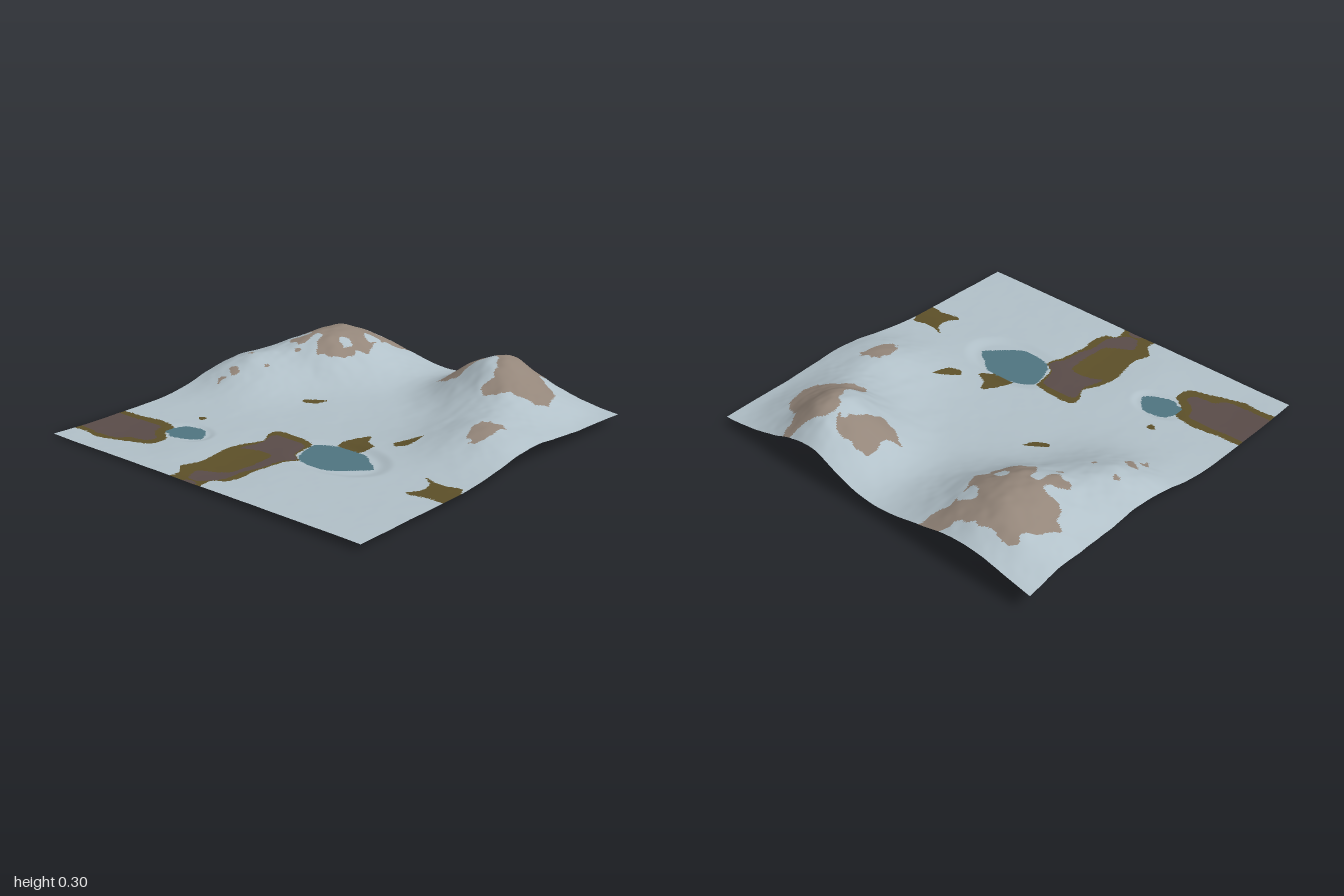
import * as THREE from 'three';

const SEG = 220;
const mat = (name, color) => new THREE.MeshStandardMaterial({ name, color, side: THREE.DoubleSide });

// Hills and hollows: x, z, height, spread in x, spread in z
const HILLS = [
  [-0.62, -0.74, 0.2, 0.27, 0.24], [-0.55, -0.5, 0.05, 0.15, 0.13], [-0.8, -0.2, 0.13, 0.2, 0.2],
  [0.36, -0.8, 0.19, 0.18, 0.2], [0.6, -0.68, 0.12, 0.2, 0.22], [0.76, -0.2, 0.1, 0.21, 0.2],
  [-0.75, 0.75, -0.013, 0.2, 0.14], [-0.03, 0.65, -0.007, 0.12, 0.25],
];
// Ponds: x, z, half length, half width, water level
const PONDS = [[0.29, 0.345, 0.23, 0.15, 0.02], [-0.51, 0.555, 0.12, 0.09, 0.014]];

// Closed smooth outline from x, z pairs
function outline(...p) {
  const pts = [];
  for (let i = 0; i < p.length; i += 2) pts.push(new THREE.Vector3(p[i], p[i + 1], 0));
  return new THREE.CatmullRomCurve3(pts, true, 'catmullrom', 0.4).getPoints(pts.length * 5);
}
const blob = (x, z, r) => outline(x - r, z, x - r * 0.3, z - r, x + r, z - r * 0.5, x + r * 0.6, z + r);

const WATER = [
  outline(0.08, 0.29, 0.12, 0.24, 0.2, 0.21, 0.35, 0.21, 0.42, 0.26, 0.5, 0.32, 0.46, 0.37, 0.4, 0.43, 0.32, 0.48, 0.18, 0.47, 0.12, 0.42),
  outline(-0.62, 0.6, -0.6, 0.5, -0.52, 0.47, -0.46, 0.48, -0.4, 0.56, -0.45, 0.61, -0.54, 0.64, -0.58, 0.62),
];
const MOSS_CORE = [
  outline(-0.16, 0.55, -0.05, 0.5, 0.03, 0.52, 0.04, 0.65, 0.03, 0.78, -0.03, 0.83, -0.1, 0.86, -0.17, 0.85, -0.15, 0.7),
];
const PEAT = [
  outline(-1.05, 0.6, -0.9, 0.58, -0.75, 0.57, -0.68, 0.58, -0.65, 0.65, -0.58, 0.7, -0.6, 0.75, -0.7, 0.77, -0.75, 0.82, -0.9, 0.83, -1.05, 0.8),
  outline(-0.15, 0.31, 0, 0.3, 0.06, 0.32, 0.09, 0.42, 0.15, 0.47, 0.11, 0.55, 0.1, 0.65, 0.07, 0.75, 0.07, 0.86, 0.01, 0.95,
    -0.06, 0.96, -0.1, 0.88, -0.05, 0.8, -0.1, 0.6, -0.16, 0.53, -0.13, 0.42),
  outline(-0.07, 1.04, -0.05, 0.98, 0.01, 0.98, 0.02, 1.04),
];
const MOSS = [
  outline(-1.05, 0.57, -0.88, 0.54, -0.75, 0.52, -0.63, 0.54, -0.6, 0.62, -0.53, 0.68, -0.54, 0.77, -0.64, 0.81, -0.72, 0.84, -0.82, 0.87, -0.92, 0.86, -1.05, 0.85),
  outline(-0.18, 0.27, -0.12, 0.25, 0.06, 0.27, 0.08, 0.33, 0.1, 0.42, 0.16, 0.47, 0.13, 0.55, 0.12, 0.62, 0.11, 0.72, 0.12, 0.8, 0.1, 0.88,
    0.04, 0.92, 0.05, 1.05, -0.14, 1.05, -0.14, 0.95, -0.2, 0.88, -0.17, 0.78, -0.2, 0.6, -0.18, 0.48, -0.14, 0.4, -0.18, 0.32),
  outline(0.17, 0.2, 0.19, 0.12, 0.24, 0.04, 0.28, 0.1, 0.34, 0.13, 0.33, 0.17, 0.3, 0.21, 0.22, 0.21),
  outline(0.4, 0.06, 0.42, 0.02, 0.49, -0.06, 0.48, 0.05, 0.43, 0.08),
  outline(0.77, 0.28, 0.84, 0.3, 0.9, 0.3, 0.97, 0.28, 1, 0.33, 1.03, 0.45, 0.92, 0.45, 0.84, 0.47, 0.8, 0.46, 0.84, 0.4, 0.83, 0.33),
  outline(-0.35, -0.12, -0.3, -0.16, -0.25, -0.19, -0.27, -0.13, -0.33, -0.1),
  blob(-0.6, 0.375, 0.022),
];
const ROCK = [
  outline(-0.9, -0.68, -0.82, -0.8, -0.8, -0.88, -0.68, -0.9, -0.52, -0.93, -0.46, -1.02, -0.34, -1.02, -0.38, -0.92, -0.42, -0.85, -0.4, -0.75,
    -0.36, -0.65, -0.4, -0.6, -0.42, -0.5, -0.52, -0.42, -0.58, -0.48, -0.6, -0.54, -0.65, -0.55, -0.65, -0.44, -0.74, -0.43, -0.76, -0.47,
    -0.7, -0.55, -0.8, -0.58, -0.86, -0.66),
  outline(0.11, -0.65, 0.16, -0.7, 0.15, -0.83, 0.28, -0.87, 0.35, -0.82, 0.3, -0.72, 0.27, -0.62, 0.2, -0.62),
  outline(0.38, -0.83, 0.48, -0.92, 0.5, -1.02, 0.56, -1.02, 0.6, -0.88, 0.72, -0.83, 0.78, -0.7, 0.78, -0.62, 0.66, -0.58, 0.58, -0.5,
    0.48, -0.52, 0.5, -0.62, 0.44, -0.72),
  outline(0.7, -0.2, 0.74, -0.25, 0.84, -0.25, 0.82, -0.2, 0.8, -0.06, 0.73, -0.07),
  ...[[-0.8, -0.05, 0.035], [-0.84, -0.22, 0.02], [-0.82, 0.03, 0.025], [-0.65, -0.38, 0.02], [-0.67, -0.17, 0.015]].map((b) => blob(...b)),
];
const SNOW = [blob(-0.46, -0.78, 0.05), blob(-0.48, -0.59, 0.035)];

function inside(loop, x, z) {
  let hit = false;
  for (let i = 0, j = loop.length - 1; i < loop.length; j = i++) {
    const a = loop[i], b = loop[j];
    if ((a.y > z) !== (b.y > z) && x < ((b.x - a.x) * (z - a.y)) / (b.y - a.y) + a.x) hit = !hit;
  }
  return hit;
}
const within = (loops, x, z) => loops.some((l) => inside(l, x, z));

// Seeded smooth noise, -1 to 1
const hash = (i, j) => { const s = Math.sin(i * 127.1 + j * 311.7) * 43758.5453; return (s - Math.floor(s)) * 2 - 1; };
function noise(x, z) {
  const i = Math.floor(x), j = Math.floor(z), L = THREE.MathUtils.lerp;
  const u = THREE.MathUtils.smoothstep(x - i, 0, 1), v = THREE.MathUtils.smoothstep(z - j, 0, 1);
  return L(L(hash(i, j), hash(i + 1, j), u), L(hash(i, j + 1), hash(i + 1, j + 1), u), v);
}
const fractal = (x, z) => noise(x * 6, z * 6) + 0.5 * noise(x * 13, z * 13) + 0.22 * noise(x * 27, z * 27);

function height(x, z) {
  const back = 1 - THREE.MathUtils.smoothstep(z, -0.5, 0.4);
  let hill = 0;
  for (const [hx, hz, h, sx, sz] of HILLS) hill += h * Math.exp(-0.5 * (((x - hx) / sx) ** 2 + ((z - hz) / sz) ** 2));
  let y = THREE.MathUtils.lerp(0.027 + 0.01 * x, 0.05, back) + hill;
  y += fractal(x, z) * (0.001 + 0.05 * Math.max(hill, 0));
  // Banks slope down to each pond's level
  for (const [px, pz, a, b, level] of PONDS) {
    const d = Math.hypot((x - px) / a, (z - pz) / b);
    y = THREE.MathUtils.lerp(level, y, THREE.MathUtils.smoothstep(d, 0.95, 1.35));
  }
  return Math.max(y, 0);
}

// Material slot for a point of the land
function surface(x, z) {
  if (within(WATER, x, z)) return 1;
  if (within(MOSS_CORE, x, z)) return 2;
  if (within(PEAT, x, z)) return 3;
  if (within(MOSS, x, z)) return 2;
  const rx = x + 0.015 * noise(x * 30, z * 30), rz = z + 0.015 * noise(x * 30 + 50, z * 30);
  return within(ROCK, rx, rz) && !within(SNOW, rx, rz) ? 4 : 0;
}

export function createModel() {
  const group = new THREE.Group();
  group.name = 'landscape';
  const materials = [
    mat('paleGround', 0xb2c1c9), mat('water', 0x507581), mat('moss', 0x5d5029), mat('peat', 0x5a4c49), mat('rock', 0x94867a),
  ];

  // Rolling land sheet
  const geo = new THREE.PlaneGeometry(2, 2, SEG, SEG).rotateX(-Math.PI / 2);
  const pos = geo.attributes.position;
  for (let i = 0; i < pos.count; i++) pos.setY(i, height(pos.getX(i), pos.getZ(i)));
  geo.computeVertexNormals();

  // Sort the triangles by ground cover
  const idx = geo.index.array, sets = materials.map(() => []);
  for (let t = 0; t < idx.length; t += 3) {
    const tri = [idx[t], idx[t + 1], idx[t + 2]];
    const mid = (axis) => tri.reduce((s, v) => s + pos.getComponent(v, axis), 0) / 3;
    sets[surface(mid(0), mid(2))].push(...tri);
  }
  geo.setIndex(sets.flat());
  geo.clearGroups();
  let start = 0;
  sets.forEach((s, m) => { geo.addGroup(start, s.length, m); start += s.length; });

  const land = new THREE.Mesh(geo, materials);
  land.name = 'terrain';
  group.add(land);
  return group;
}
